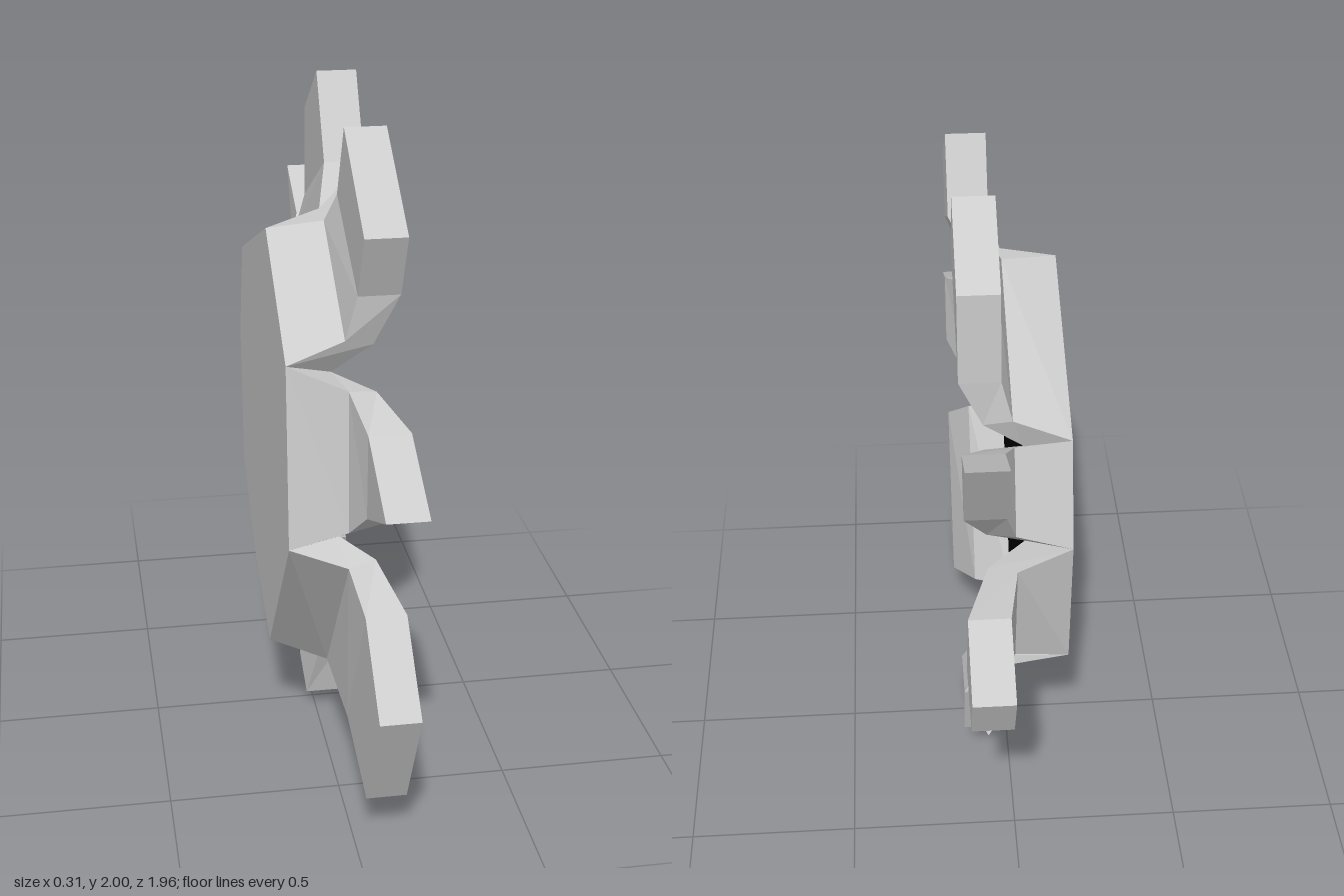
import * as THREE from 'three';

const FLOOR_X = -0.03, BACK_X = -0.16;
const CENTRE = [0.05, 0.98];
const FLAT = [0.145, 0.03]; // inner and outer x of the bent-over ends
const BEND = [0.08, 0];     // inner and outer x at the bend near the root

// Rim corners as [z, y], clockwise seen from +x
const rim = [[0.16, 1.56], [-0.35, 1.35], [-0.43, 1.08], [-0.39, 0.69],
  [-0.12, 0.5], [0.16, 0.4], [0.54, 0.87], [0.5, 1.33]];

// One shard per rim edge: two kink corners, then one or two tip corners
const shards = [
  { name: 'topShard', kink: [[0.01, 1.77], [-0.36, 1.57]], tip: [[-0.13, 2], [-0.36, 1.84]] },
  { name: 'upperBackSpike', kink: [[-0.53, 1.46], [-0.59, 1.29]], tip: [[-0.735, 1.56]] },
  { name: 'backShard', kink: [[-0.77, 1.1], [-0.62, 0.79]], tip: [[-0.98, 0.99], [-0.9, 0.82]] },
  { name: 'lowerBackSpike', kink: [[-0.4, 0.47], [-0.22, 0.45]], tip: [[-0.32, 0.24]] },
  { name: 'bottomShard', kink: [[-0.08, 0.12], [0.07, 0.06]], tip: [[-0.13, 0]], kinkX: [0.13, -0.03], tipX: [0.06, 0.06] },
  { name: 'lowerFrontShard', kink: [[0.47, 0.22], [0.73, 0.7]], tip: [[0.78, 0.15], [0.95, 0.5]] },
  { name: 'frontSpike', kink: [[0.73, 1], [0.73, 1.24]], tip: [[0.98, 1.11]] },
  { name: 'upperFrontShard', kink: [[0.56, 1.56], [0.23, 1.74]], tip: [[0.64, 1.74], [0.33, 1.95]] },
];

// Place a [z, y] corner at depth x, optionally spread away from the centre
const at = (x, [z, y], spread = 1) =>
  [x, CENTRE[1] + (y - CENTRE[1]) * spread, CENTRE[0] + (z - CENTRE[0]) * spread];

// Four-cornered cross-section: inner pair, then outer pair
const section = ([a, b], [xIn, xOut], spread) =>
  [at(xIn, a), at(xIn, b), at(xOut, b, spread), at(xOut, a, spread)];

const between = ([z0, y0], [z1, y1], t) => [z0 + (z1 - z0) * t, y0 + (y1 - y0) * t];

function toMesh(name, points, color) {
  const geometry = new THREE.BufferGeometry();
  geometry.setAttribute('position', new THREE.Float32BufferAttribute(points.flat(), 3));
  geometry.computeVertexNormals();
  const mesh = new THREE.Mesh(geometry, new THREE.MeshStandardMaterial({ color, flatShading: true }));
  mesh.name = name;
  return mesh;
}

// Skin over the sections with a closed end
function loft(sections) {
  const points = [];
  const quad = (a, b, c, d) => points.push(a, b, c, a, c, d);
  for (let i = 0; i < sections.length - 1; i++) {
    const s = sections[i], t = sections[i + 1];
    for (let k = 0; k < 4; k++) {
      const n = (k + 1) % 4;
      quad(s[k], s[n], t[n], t[k]);
    }
  }
  quad(...sections[sections.length - 1]);
  return points;
}

// Flat rim-shaped polygon filled from its centre
function fan(x, spread, facesPlusX) {
  return rim.flatMap((p, i) => {
    const a = at(x, p, spread), b = at(x, rim[(i + 1) % rim.length], spread);
    return facesPlusX ? [at(x, CENTRE), b, a] : [at(x, CENTRE), a, b];
  });
}

export function createModel() {
  const model = new THREE.Group();
  model.name = 'burstHole';

  // Dark floor and the wider back plate
  const backSpread = 1.13;
  model.add(toMesh('darkFloor', fan(FLOOR_X, 1, true), 0x000000));
  model.add(toMesh('backPlate', fan(BACK_X, backSpread, false), 0xcccccc));

  // Shards rise from the rim, bend outward, then narrow to their tips
  shards.forEach(({ name, kink, tip, kinkX = FLAT, tipX = FLAT }, i) => {
    const root = [rim[i], rim[(i + 1) % rim.length]];
    const bend = root.map((p, k) => between(p, kink[k], 0.35));
    const end = [tip[0], tip[tip.length - 1]];
    model.add(toMesh(name, loft([
      section(root, [FLOOR_X, BACK_X], backSpread),
      section(bend, BEND, 1.05),
      section(kink, kinkX),
      section(end, tipX),
    ]), 0xcccccc));
  });
  return model;
}
